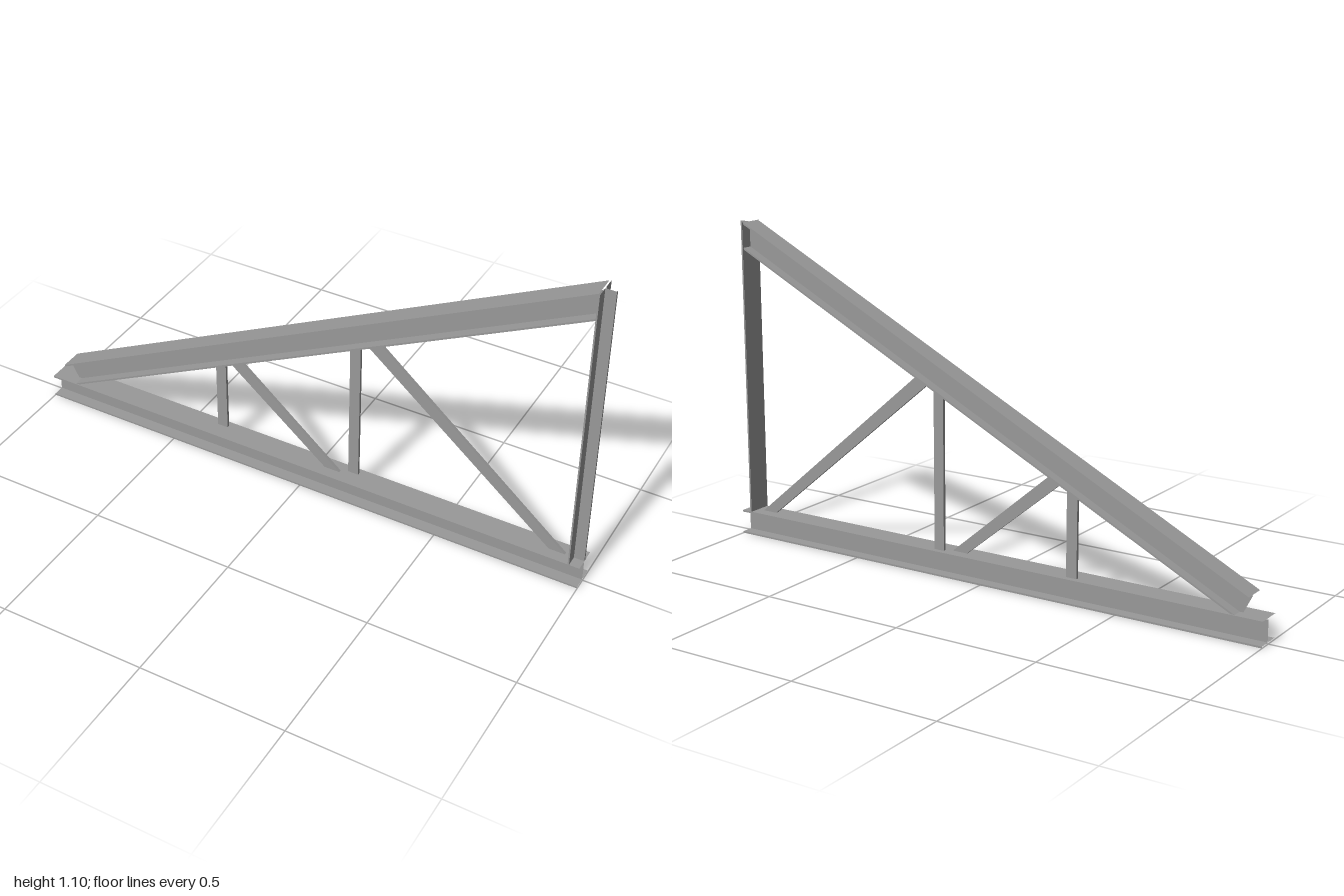
import * as THREE from 'three';

const steel = new THREE.MeshStandardMaterial({ color: 0x999999, flatShading: true });

// Counter-clockwise outline of an I section, top at 0, going down by depth
function iSection(width, depth, flange, web) {
  const w = width / 2, t = web / 2;
  return [
    [-w, -depth], [w, -depth], [w, flange - depth], [t, flange - depth],
    [t, -flange], [w, -flange], [w, 0], [-w, 0],
    [-w, -flange], [-t, -flange], [-t, flange - depth], [-w, flange - depth],
  ];
}

// Open-ended rolled profile: the section is placed at each end by a rule
function profile(name, section, startAt, endAt) {
  const pos = [];
  section.forEach((p, i) => {
    const q = section[(i + 1) % section.length];
    const a = startAt(...p), b = startAt(...q), c = endAt(...q), d = endAt(...p);
    pos.push(...a, ...c, ...b, ...a, ...d, ...c);
  });
  const geo = new THREE.BufferGeometry();
  geo.setAttribute('position', new THREE.Float32BufferAttribute(pos, 3));
  geo.computeVertexNormals();
  const mesh = new THREE.Mesh(geo, steel);
  mesh.name = name;
  return mesh;
}

// Flat bar cut to an outline in the plane of the truss, centred on depth z
function bar(name, outline, z) {
  const thick = 0.01;
  const shape = new THREE.Shape(outline.map(([x, y]) => new THREE.Vector2(x, y)));
  const geo = new THREE.ExtrudeGeometry(shape, { depth: thick, bevelEnabled: false });
  geo.translate(0, 0, z - thick / 2);
  const mesh = new THREE.Mesh(geo, steel);
  mesh.name = name;
  return mesh;
}

export function createModel() {
  const model = new THREE.Group();
  model.name = 'truss';
  const chordTop = 0.084;

  // Horizontal bottom chord
  model.add(profile('bottomChord', iSection(0.086, chordTop, 0.006, 0.008),
    (z, d) => [-1, chordTop + d, z], (z, d) => [1, chordTop + d, z]));

  // Sloping top chord: square cut at the foot, plumb cut at the column
  const slope = 0.5, depth = 0.083;
  const cos = 1 / Math.hypot(1, slope), sin = slope * cos;
  const topAt = (x) => 0.623 + slope * x;
  model.add(profile('topChord', iSection(0.077, depth, 0.006, 0.008),
    (z, d) => [-0.95 - sin * d, topAt(-0.95) + cos * d, z],
    (z, d) => [0.96, topAt(0.96) + d / cos, z]));

  // End column: T section with its flange inwards and its stem outwards
  const tee = [
    [-0.043, 0.96], [0.043, 0.96], [0.043, 0.965], [0.004, 0.965],
    [0.004, 1], [-0.004, 1], [-0.004, 0.965], [-0.043, 0.965],
  ];
  model.add(profile('endColumn', tee, (z, x) => [x, 1.103, z], (z, x) => [x, chordTop, z]));

  // Web members run from the bottom chord to the underside of the top chord;
  // the posts sit behind the plane of the diagonals
  const underAt = (x) => topAt(x) - depth / cos + 0.003;
  const members = [
    ['shortPost', -0.352, -0.314, -0.352, -0.314, -0.019],
    ['tallPost', 0.153, 0.19, 0.153, 0.19, -0.019],
    ['shortDiagonal', 0.075, 0.13, -0.292, -0.25, 0],
    ['longDiagonal', 0.88, 0.935, 0.215, 0.26, 0],
  ];
  for (const [name, b0, b1, t0, t1, z] of members) {
    model.add(bar(name, [
      [b0, chordTop], [b1, chordTop], [t1, underAt(t1)], [t0, underAt(t0)],
    ], z));
  }
  return model;
}
